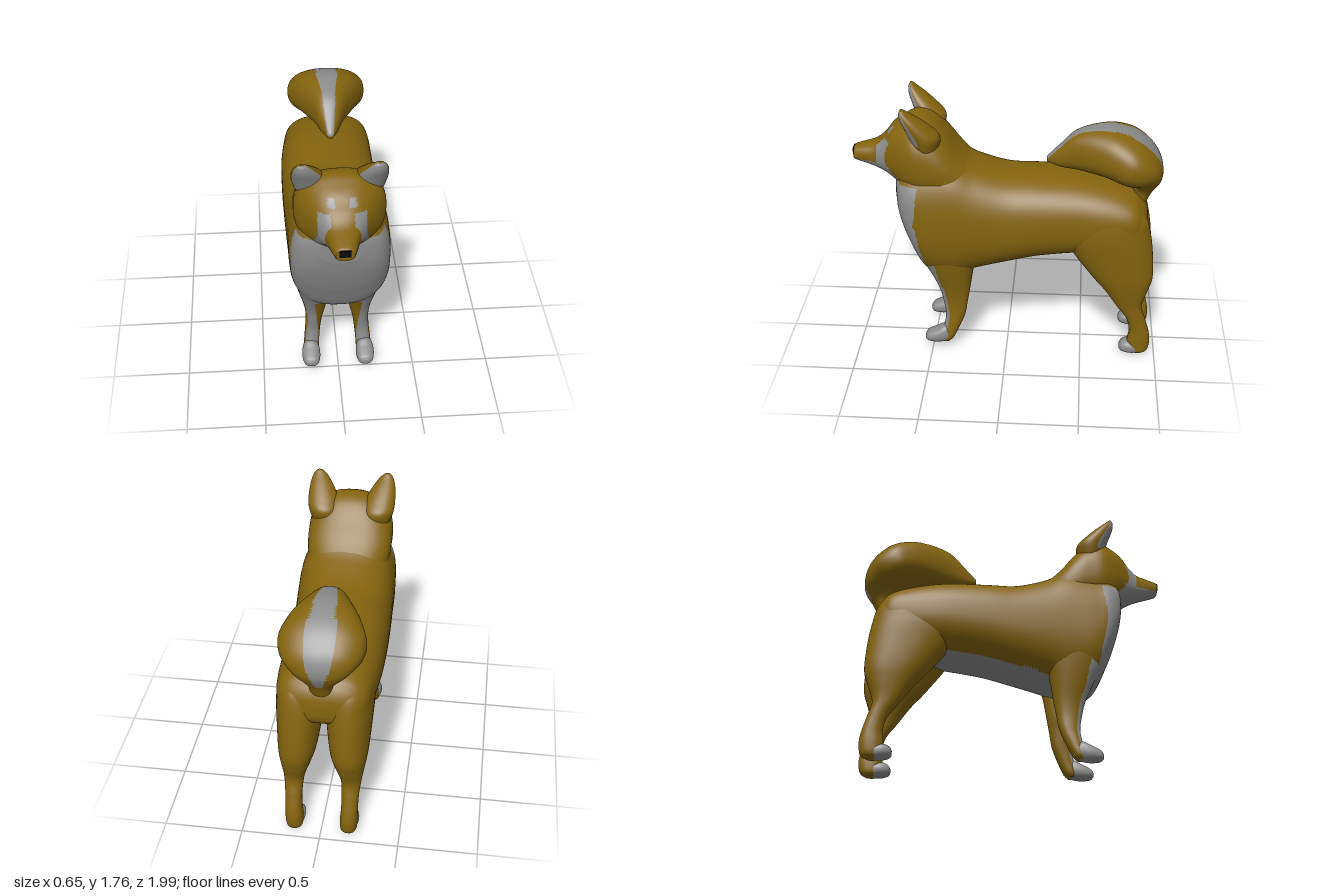
import * as THREE from 'three';

const GOLD = new THREE.MeshStandardMaterial({ color: 0x84640e });
const PALE = new THREE.MeshStandardMaterial({ color: 0x8c8c8c });
const DARK = new THREE.MeshStandardMaterial({ color: 0x0a0a0a });

const RING = 64, STEPS = 10;
const bow = (v, n) => Math.sign(v) * Math.pow(Math.abs(v), 2 / n);

// Smooth skin through cross-sections. Each row is [ay, az, by, bz, xc, hw]:
// the two ends of the section in the yz plane, its centre in x and half width.
// isPale(point, normal) picks the triangles that get the pale coat.
function loft(name, rows, power, isPale = () => false, side = 1) {
  const a = new THREE.CatmullRomCurve3(rows.map(r => new THREE.Vector3(r[4] * side, r[0], r[1])), false, 'catmullrom');
  const b = new THREE.CatmullRomCurve3(rows.map(r => new THREE.Vector3(r[5], r[2], r[3])), false, 'catmullrom');
  const pos = [], index = [], count = (rows.length - 1) * STEPS;
  for (let i = 0; i <= count; i++) {
    const p = a.getPoint(i / count), q = b.getPoint(i / count);
    for (let j = 0; j < RING; j++) {
      const t = (j / RING) * Math.PI * 2, c = bow(Math.cos(t), power), s = bow(Math.sin(t), power);
      pos.push(p.x + q.x * s, (p.y + q.y) / 2 + (p.y - q.y) / 2 * c, (p.z + q.z) / 2 + (p.z - q.z) / 2 * c);
    }
  }
  for (let i = 0; i < count; i++) for (let j = 0; j < RING; j++) {
    const k = (j + 1) % RING, o = i * RING, u = o + RING;
    index.push(o + j, u + j, o + k, o + k, u + j, u + k);
  }
  // End caps
  for (const [i, flip] of [[0, false], [count, true]]) {
    const p = a.getPoint(i / count), q = b.getPoint(i / count), m = pos.length / 3, o = i * RING;
    pos.push(p.x, (p.y + q.y) / 2, (p.z + q.z) / 2);
    for (let j = 0; j < RING; j++) {
      const k = (j + 1) % RING;
      index.push(m, flip ? o + k : o + j, flip ? o + j : o + k);
    }
  }
  // Turn the faces outward if the signed volume is negative
  const at = i => new THREE.Vector3().fromArray(pos, i * 3);
  let volume = 0;
  for (let i = 0; i < index.length; i += 3) volume += at(index[i]).dot(at(index[i + 1]).cross(at(index[i + 2])));
  if (volume < 0) index.reverse();

  const base = new THREE.BufferGeometry();
  base.setAttribute('position', new THREE.Float32BufferAttribute(pos, 3));
  base.setIndex(index);
  base.computeVertexNormals();

  // Split into coat colours that share the same smooth normals
  const coats = [[], []], nor = base.attributes.normal;
  for (let i = 0; i < index.length; i += 3) {
    const tri = index.slice(i, i + 3), p = new THREE.Vector3(), n = new THREE.Vector3();
    for (const v of tri) {
      p.add(at(v));
      n.add(new THREE.Vector3().fromBufferAttribute(nor, v));
    }
    coats[isPale(p.divideScalar(3), n.normalize()) ? 1 : 0].push(...tri);
  }
  const group = new THREE.Group();
  group.name = name;
  coats.forEach((list, c) => {
    if (!list.length) return;
    const g = base.clone();
    g.setIndex(list);
    const mesh = new THREE.Mesh(g, c ? PALE : GOLD);
    mesh.name = name + (c ? 'PaleCoat' : 'GoldCoat');
    group.add(mesh);
  });
  return group;
}

// Row makers: upright sections [z, top, bottom, hw, xc] and level sections [y, front, back, xc, hw]
const upright = (list, x = 0) => list.map(([z, top, bot, hw, xc = x]) => [top, z, bot, z, xc, hw]);
const level = list => list.map(([y, f, b, x, hw]) => [y, f, y, b, x, hw]);

export function createModel() {
  const dog = new THREE.Group();
  dog.name = 'dog';

  // Torso with pale chest and belly
  const bibEdge = y => (y > 1 ? 0.59 - (y - 1) * 0.12 : 0.59 - (1 - y) * 0.19);
  dog.add(loft('torso', upright([
    [0.715, 1.25, 1.09, 0.13], [0.685, 1.31, 0.95, 0.235], [0.62, 1.36, 0.76, 0.295],
    [0.52, 1.40, 0.575, 0.315, 0.005], [0.35, 1.42, 0.54, 0.32, 0.005], [0.2, 1.34, 0.59, 0.32],
    [0, 1.275, 0.645, 0.316, -0.01], [-0.2, 1.265, 0.695, 0.315, -0.015], [-0.45, 1.255, 0.73, 0.31, -0.015],
    [-0.65, 1.225, 0.75, 0.3, -0.005], [-0.8, 1.175, 0.80, 0.28], [-0.865, 1.12, 0.84, 0.235],
    [-0.9, 1.06, 0.88, 0.16], [-0.912, 1.0, 0.92, 0.05],
  ]), 2.5, (p, n) => (p.z > bibEdge(p.y) && p.y < 1.25) || (n.y < -0.85 && Math.abs(p.x) < 0.19 && p.z > -0.6)));

  // Neck, head and muzzle with pale cheeks, jaw and brow spots
  dog.add(loft('head', upright([
    [0.2, 1.32, 1.15, 0.18], [0.31, 1.425, 1.1, 0.25], [0.4, 1.54, 1.1, 0.275],
    [0.49, 1.625, 1.1, 0.28], [0.58, 1.65, 1.12, 0.275], [0.66, 1.62, 1.16, 0.235],
    [0.73, 1.575, 1.215, 0.18], [0.79, 1.5, 1.255, 0.135], [0.85, 1.455, 1.28, 0.1],
    [0.93, 1.43, 1.305, 0.077], [0.98, 1.415, 1.32, 0.062], [0.992, 1.405, 1.328, 0.054],
  ]), 2.4, (p) => {
    const x = Math.abs(p.x);
    const cheek = p.z > 0.73 && p.z < 0.835 && p.y < 1.5 && x > 0.07 && x < 0.145;
    const jaw = p.z > 0.75 && p.y < 1.338;
    const throat = p.z > 0.56 && p.y < 1.24 + Math.min(0.08, Math.max(0, p.z - 0.68));
    const brow = p.z > 0.65 && x > 0.04 && x < 0.085 && p.y > 1.53 && p.y < 1.575;
    return cheek || jaw || throat || brow;
  }));

  // Nose
  const nose = new THREE.Mesh(new THREE.BoxGeometry(0.07, 0.045, 0.04), DARK);
  nose.name = 'nose';
  nose.position.set(0, 1.38, 0.979);
  dog.add(nose);

  for (const side of [1, -1]) {
    const label = side > 0 ? 'left' : 'right';

    // Ear with pale inside
    dog.add(loft(label + 'Ear', level([
      [1.4, 0.55, 0.44, 0.13, 0.09], [1.5, 0.585, 0.42, 0.165, 0.1], [1.57, 0.61, 0.415, 0.181, 0.104],
      [1.63, 0.632, 0.47, 0.194, 0.094], [1.69, 0.655, 0.54, 0.21, 0.071], [1.735, 0.66, 0.6, 0.221, 0.044],
      [1.76, 0.65, 0.63, 0.226, 0.018],
    ]), 2, (p, n) => n.z > 0.4 && p.y > 1.53, side));

    // Front leg with a pale stripe down its front
    dog.add(loft(label + 'FrontLeg', level([
      [1.12, 0.52, 0.24, 0.18, 0.08], [0.95, 0.61, 0.19, 0.185, 0.112], [0.8, 0.605, 0.18, 0.18, 0.112],
      [0.69, 0.565, 0.2, 0.167, 0.108], [0.58, 0.505, 0.225, 0.155, 0.096],
      [0.45, 0.45, 0.245, 0.148, 0.073], [0.35, 0.425, 0.262, 0.153, 0.056], [0.25, 0.41, 0.28, 0.162, 0.05],
      [0.15, 0.425, 0.32, 0.172, 0.05], [0.08, 0.44, 0.355, 0.177, 0.05], [0.05, 0.43, 0.38, 0.177, 0.035],
    ]), 2.2, (p, n) => (p.y > 0.57 ? p.z > bibEdge(p.y) - 0.06
      : n.z > 0.45 && Math.abs(p.x) > 0.125 + (p.y - 0.2) * 0.08), side));

    // Hind leg with thigh
    dog.add(loft(label + 'HindLeg', level([
      [1.13, -0.52, -0.83, 0.13, 0.1], [1.04, -0.4, -0.895, 0.15, 0.138], [0.92, -0.35, -0.928, 0.152, 0.149],
      [0.78, -0.425, -0.95, 0.155, 0.14], [0.6, -0.56, -0.96, 0.162, 0.12], [0.5, -0.645, -0.935, 0.17, 0.097],
      [0.38, -0.73, -0.9, 0.18, 0.066], [0.28, -0.8, -0.925, 0.18, 0.054], [0.18, -0.825, -0.955, 0.178, 0.053],
      [0.1, -0.815, -0.967, 0.175, 0.056], [0.03, -0.82, -0.955, 0.173, 0.052], [0.004, -0.85, -0.92, 0.173, 0.03],
    ]), 2.3, () => false, side));

    // Paws
    dog.add(loft(label + 'FrontPaw', upright([
      [0.36, 0.12, 0.07, 0.03], [0.41, 0.17, 0.045, 0.052], [0.47, 0.145, 0.038, 0.06],
      [0.53, 0.115, 0.045, 0.048], [0.55, 0.09, 0.06, 0.022],
    ], 0.18), 2.3, () => true, side));
    dog.add(loft(label + 'HindPaw', upright([
      [-0.91, 0.07, 0.02, 0.03], [-0.87, 0.09, 0.003, 0.055], [-0.82, 0.1, 0.004, 0.06],
      [-0.78, 0.085, 0.015, 0.048], [-0.763, 0.06, 0.03, 0.022],
    ], 0.173), 2.3, () => true, side));
  }

  // Curled tail: outer and inner edge of each section, with a pale stripe on top
  dog.add(loft('tail', [
    [1.03, -0.88, 1.08, -0.8, 0, 0.06], [1.14, -0.925, 1.19, -0.8, 0, 0.085], [1.27, -0.99, 1.22, -0.8, 0, 0.165],
    [1.4, -0.965, 1.23, -0.76, 0, 0.235], [1.52, -0.85, 1.245, -0.71, 0, 0.262], [1.58, -0.71, 1.27, -0.63, 0, 0.225],
    [1.585, -0.57, 1.285, -0.53, 0, 0.165], [1.545, -0.43, 1.295, -0.44, 0, 0.105],
    [1.45, -0.33, 1.305, -0.34, 0, 0.06], [1.37, -0.25, 1.335, -0.25, 0, 0.018],
  ], 2.4, (p, n) => {
    const width = p.z < -0.85 ? 0.088 - Math.max(0, 1.4 - p.y) * 0.3 : 0.088 - (p.z + 0.85) * 0.11;
    return (n.y > 0.1 || n.z < -0.5) && p.y > 1.17 && Math.abs(p.x) < width;
  }));

  return dog;
}
